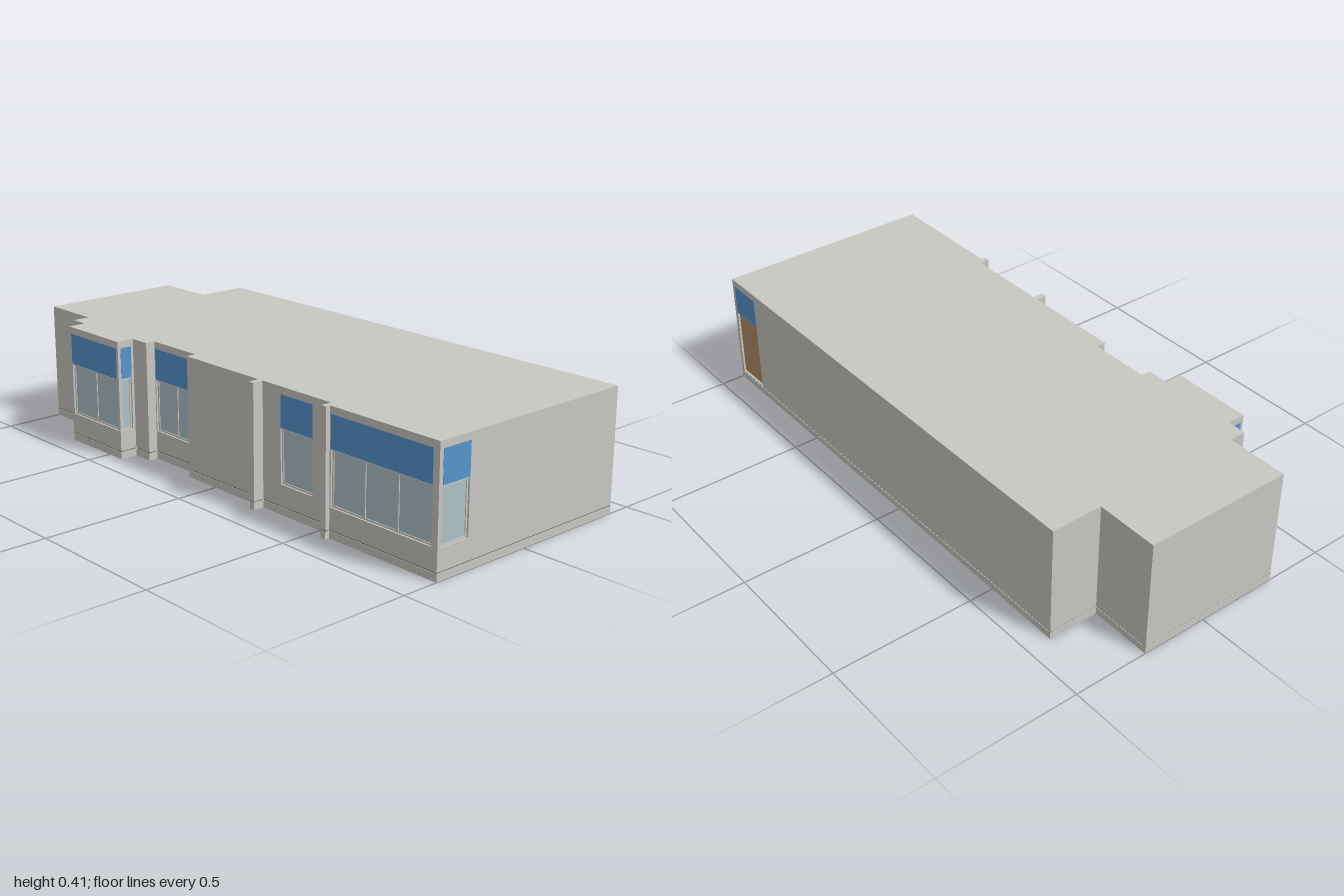
import * as THREE from 'three';

const H = 0.415;          // building height
const T = 0.01;           // wall thickness
const GROOVE = [0.025, 0.029];

const mat = (name, color) => {
  const m = new THREE.MeshStandardMaterial({ color });
  m.name = name;
  return m;
};

// Footprint corners as [x, z]: front from left to right, then round the back
const FOOTPRINT = [
  [-1, 0.29], [-0.78, 0.29], [-0.78, 0.35], [-0.715, 0.35], [-0.715, 0.413], [-0.43, 0.413],
  [-0.43, 0.35], [-0.355, 0.35], [-0.355, 0.316], [-0.135, 0.316], [-0.135, 0.35], [0.22, 0.35],
  [0.22, 0.388], [0.24, 0.388], [0.24, 0.35], [0.545, 0.35], [0.545, 0.388], [0.565, 0.388],
  [0.565, 0.372], [1, 0.372], [1, -0.415], [-0.78, -0.415], [-0.78, -0.235], [-1, -0.235],
];

// Openings keyed by wall number; u0 and u1 run along the wall from its first corner
const OPENINGS = {
  3: { u0: 0.011, u1: 0.053, panes: 1 },
  4: { u0: 0.01, u1: 0.275, panes: 2 },
  5: { u0: 0.011, u1: 0.053, panes: 1 },
  8: { u0: 0.004, u1: 0.218, panes: 2 },
  14: { u0: 0.083, u1: 0.227, panes: 1 },
  18: { u0: 0.005, u1: 0.412, panes: 3 },
  19: { u0: 0.015, u1: 0.126, panes: 1 },
  20: { u0: 0.015, u1: 0.145, door: true },
};

function rectPath(Type, x0, y0, x1, y1) {
  return new Type([[x0, y0], [x1, y0], [x1, y1], [x0, y1]].map(([x, y]) => new THREE.Vector2(x, y)));
}

// Flat panel with rectangular holes; its front face lies at z = front
function panel(name, rect, holes, depth, front, material) {
  const shape = rectPath(THREE.Shape, ...rect);
  shape.holes = holes.map((h) => rectPath(THREE.Path, ...h));
  const geo = new THREE.ExtrudeGeometry(shape, { depth, bevelEnabled: false });
  geo.translate(0, 0, front - depth);
  const mesh = new THREE.Mesh(geo, material);
  mesh.name = name;
  return mesh;
}

export function createModel() {
  const model = new THREE.Group();
  model.name = 'building';
  const wallMat = mat('wall grey', 0xc9c7c2);
  const blueMat = mat('sign blue', 0x5694cc);
  const glassMat = mat('window glass', 0xadc1c8);
  const doorMat = mat('door brown', 0xb28d67);
  const darkMat = mat('dark grey', 0x77756f);

  // Roof and floor slabs
  const outline = new THREE.Shape(FOOTPRINT.map(([x, z]) => new THREE.Vector2(x, -z)));
  for (const [name, y] of [['floor', 0], ['roof', H - T]]) {
    const geo = new THREE.ExtrudeGeometry(outline, { depth: T, bevelEnabled: false });
    geo.rotateX(-Math.PI / 2);
    const slab = new THREE.Mesh(geo, wallMat);
    slab.position.y = y;
    slab.name = name;
    model.add(slab);
  }

  FOOTPRINT.forEach(([x, z], i) => {
    const [x2, z2] = FOOTPRINT[(i + 1) % FOOTPRINT.length];
    const dx = x2 - x, dz = z2 - z;
    const length = Math.hypot(dx, dz);
    const wall = new THREE.Group();
    wall.name = 'wallSection';
    wall.position.set(x, 0, z);
    wall.rotation.y = Math.atan2(-dz, dx);   // local +z points outward
    model.add(wall);

    const o = OPENINGS[i];
    const y0 = o && o.door ? 0.032 : 0.1, y1 = 0.281;
    const hole = o && [o.u0, y0, o.u1, y1];

    // Wall face, plinth and the groove between them
    wall.add(
      panel('wall', [0, GROOVE[1], length, H], o ? [hole] : [], T, 0, wallMat),
      panel('plinth', [0, 0, length, GROOVE[0]], [], T, 0, wallMat),
      panel('groove', [0, GROOVE[0] - 0.002, length, GROOVE[1] + 0.002], [], 0.002, -0.002, darkMat),
    );
    if (!o) return;

    // Blue panel over the opening
    wall.add(panel('signPanel', [o.u0, y1 + 0.003, o.u1, 0.391], [], 0.002, 0.001, blueMat));

    if (o.door) {
      wall.add(panel('door', hole, [], 0.004, -0.007, doorMat));
      // Rows of small studs across the door
      for (const y of [0.1, 0.17]) {
        for (let k = 0; k < 6; k++) {
          const u = o.u0 + 0.02 + k * 0.018;
          wall.add(panel('doorStud', [u, y, u + 0.004, y + 0.003], [], 0.002, -0.006, darkMat));
        }
      }
      return;
    }

    // Recessed window frame with equal panes, glass just behind
    const m = 0.006;
    const paneWidth = (o.u1 - o.u0 - m * (o.panes + 1)) / o.panes;
    const paneHoles = Array.from({ length: o.panes }, (_, k) => {
      const a = o.u0 + m + k * (paneWidth + m);
      return [a, y0 + m, a + paneWidth, y1 - m];
    });
    wall.add(
      panel('windowFrame', hole, paneHoles, 0.004, -0.006, wallMat),
      panel('windowGlass', hole, [], 0.002, -0.009, glassMat),
    );
  });

  return model;
}
